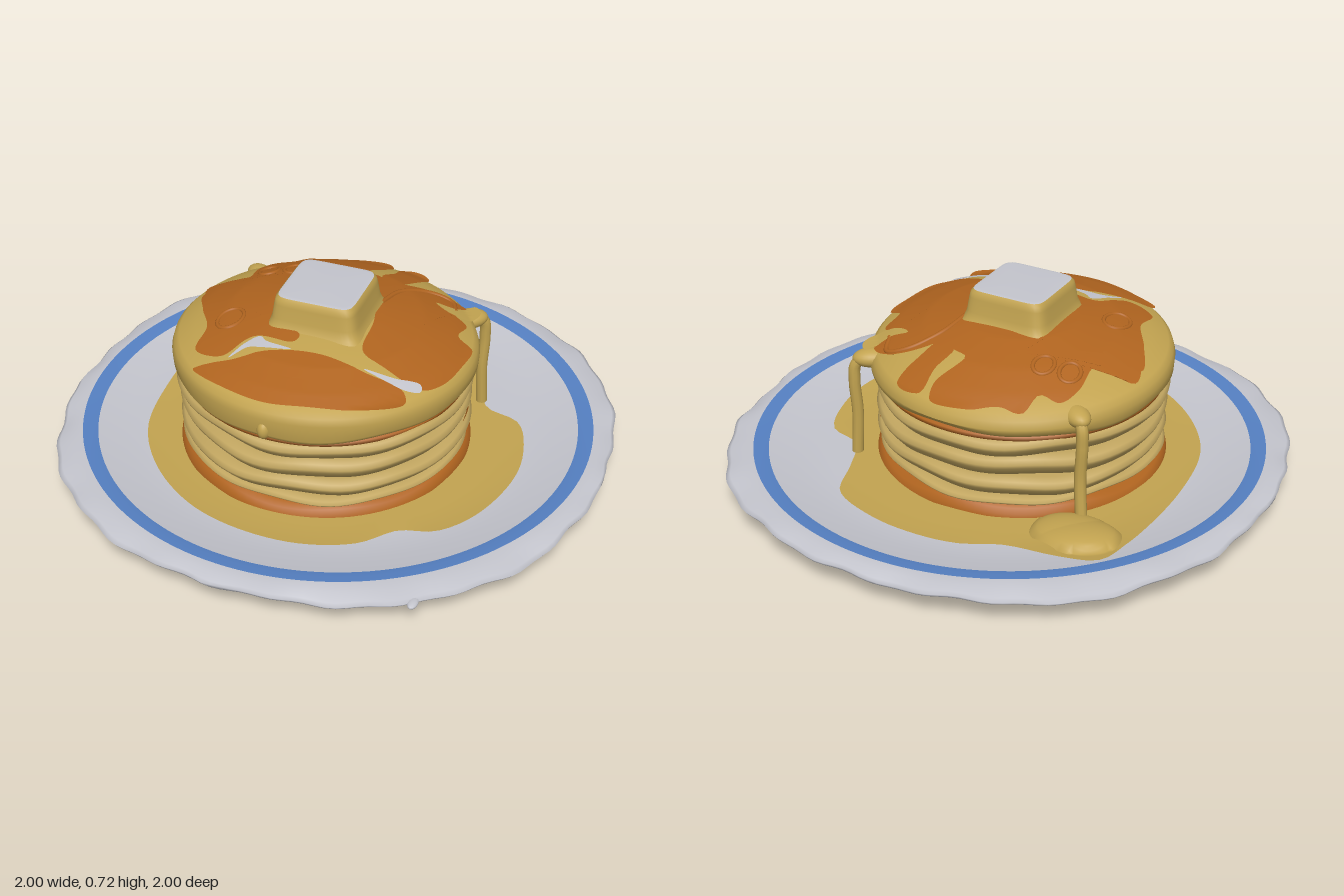
import * as THREE from 'three';
import { mergeVertices } from 'three/addons/utils/BufferGeometryUtils.js';

const mat = (name, color) => new THREE.MeshStandardMaterial({ name, color, side: THREE.DoubleSide });
const V3 = (x, y, z) => new THREE.Vector3(x, y, z);
const RAD = Math.PI / 180;

// Linear interpolation through [r, y] pairs
function ramp(pairs, r) {
  for (let i = 1; i < pairs.length; i++) {
    const [r0, y0] = pairs[i - 1], [r1, y1] = pairs[i];
    if (r <= r1) return y0 + (y1 - y0) * (r - r0) / (r1 - r0);
  }
  return pairs[pairs.length - 1][1];
}

const DOME = [[0, 0.62], [0.2, 0.605], [0.35, 0.575], [0.46, 0.537], [0.52, 0.51]];
const WELL = [[0, 0.08], [0.66, 0.083], [0.78, 0.1], [0.875, 0.122]];
const BASE = [[0, 0.006], [0.64, 0.006], [0.74, 0.022], [0.9, 0.065], [0.97, 0.088]];
const CX = -0.03, CZ = 0.04; // centre of the stack
const tilt = (z, r) => 0.08 * z * r; // the top pancake sits higher at the front
const domeY = (x, z) => {
  const r = Math.hypot(x - CX, z - CZ);
  return ramp(DOME, r) + tilt(z - CZ, r);
};

// Lathe whose vertices are moved by a rule, then smoothed across the seam
function turned(profile, rule, segments = 96, start = 0, sweep = 360) {
  let g = new THREE.LatheGeometry(profile.map(p => new THREE.Vector2(...p)), segments, start * RAD, sweep * RAD);
  const p = g.attributes.position, v = V3(0, 0, 0);
  if (rule) {
    for (let i = 0; i < p.count; i++) {
      v.fromBufferAttribute(p, i);
      rule(v, Math.atan2(v.z, v.x), Math.hypot(v.x, v.z));
      p.setXYZ(i, v.x, v.y, v.z);
    }
  }
  g.deleteAttribute('uv');
  g.deleteAttribute('normal');
  g = mergeVertices(g, 1e-5);
  g.computeVertexNormals();
  return g;
}

// Filled outline of [x, z] points draped over a height rule
function draped(outline, [cx, cz], height, rings = 12, n = 120) {
  const curve = new THREE.CatmullRomCurve3(outline.map(([x, z]) => V3(x, 0, z)), true, 'centripetal');
  const edge = curve.getSpacedPoints(n).slice(0, n);
  const area = edge.reduce((s, e, i) => s + e.x * edge[(i + 1) % n].z - edge[(i + 1) % n].x * e.z, 0);
  if (area > 0) edge.reverse(); // keep the faces upwards
  const pos = [], idx = [];
  for (let k = 0; k <= rings; k++) {
    for (const e of edge) {
      const x = cx + (e.x - cx) * k / rings, z = cz + (e.z - cz) * k / rings;
      pos.push(x, height(x, z), z);
    }
  }
  for (let k = 0; k < rings; k++) {
    for (let i = 0; i < n; i++) {
      const a = k * n + i, b = k * n + (i + 1) % n;
      idx.push(a, a + n, b, b, a + n, b + n);
    }
  }
  const g = new THREE.BufferGeometry();
  g.setAttribute('position', new THREE.Float32BufferAttribute(pos, 3));
  g.setIndex(idx);
  g.computeVertexNormals();
  return g;
}

export function createModel() {
  const model = new THREE.Group();
  model.name = 'pancakeStack';
  const china = mat('china', 0xc3c4cc);
  const blue = mat('blueGlaze', 0x5580c2);
  const syrup = mat('syrup', 0xc2a350);
  const batter = mat('batter', 0xc2a660);
  const brown = mat('brownCrust', 0xb0641f);
  const add = (name, geometry, material, x = 0, y = 0, z = 0) => {
    const m = new THREE.Mesh(geometry, material);
    m.name = name;
    m.position.set(x, y, z);
    model.add(m);
    return m;
  };

  // Plate with a hand-made, slightly squarish and uneven rim
  const rim = (v, a, r) => {
    if (r < 0.935) return;
    const t = (r - 0.935) / 0.065;
    const k = 1 + t * (0.017 - 0.016 * Math.cos(4 * a) + 0.004 * Math.sin(13 * a) + 0.005 * Math.sin(31 * a + 1));
    v.x = THREE.MathUtils.clamp(v.x * k, -1, 1);
    v.z = THREE.MathUtils.clamp(v.z * k, -1, 1);
    v.y += t * (0.004 * Math.sin(9 * a) + 0.004 * Math.sin(17 * a + 2));
  };
  add('plate', turned([
    ...BASE, [0.995, 0.096], [1, 0.106], [0.99, 0.115], [0.96, 0.125], [0.93, 0.132],
    [0.9, 0.128], ...WELL.slice().reverse()], rim, 180), china);
  add('plateBlueBand', turned([[0.932, 0.135], [0.9, 0.132], [0.877, 0.127]], null, 144), blue);
  add('rimNub', new THREE.SphereGeometry(1, 12, 8), china, 0.575, 0.105, 0.85).scale.set(0.018, 0.01, 0.032);

  // Broken traces of blue glaze under the rim: start and sweep in degrees
  for (const [start, sweep] of [[110, 36], [153, 3], [30, 30], [212, 26], [292, 15], [315, 9]]) {
    add('undersideBlueTrace', turned([[0.9, 0.06], [0.93, 0.07]], null, 24, start, sweep), blue);
  }

  // Syrup pool, and the stain showing under the plate
  const pool = [
    [-0.68, -0.42], [-0.65, -0.57], [-0.5, -0.59], [-0.31, -0.6], [-0.17, -0.67], [0, -0.69],
    [0.17, -0.67], [0.35, -0.59], [0.42, -0.42], [0.49, -0.28], [0.62, -0.23], [0.69, -0.06],
    [0.7, 0.12], [0.63, 0.36], [0.53, 0.48], [0.41, 0.51], [0.3, 0.63], [0.12, 0.7],
    [-0.1, 0.7], [-0.3, 0.64], [-0.5, 0.49], [-0.64, 0.28], [-0.69, 0]];
  add('syrupPool', draped(pool, [0, 0], (x, z) => ramp(WELL, Math.hypot(x, z)) + 0.008), syrup);
  add('undersideStain', draped(pool, [0, 0], (x, z) => ramp(BASE, Math.hypot(x, z)) - 0.005), syrup);

  // Squarish mound where the back drip lands
  const mound = [[-0.66, -0.5], [-0.6, -0.56], [-0.45, -0.55], [-0.35, -0.49], [-0.35, -0.36], [-0.48, -0.32], [-0.63, -0.36]];
  add('syrupMound', draped(mound, [-0.5, -0.44], (x, z) => {
    const d = Math.min(1, Math.hypot((x + 0.5) / 0.16, (z + 0.44) / 0.12));
    return ramp(WELL, Math.hypot(x, z)) + 0.01 + 0.05 * Math.sqrt(1 - d * d);
  }), syrup);

  // Lower pancakes with rounded, wavy edges
  const levels = [0.115, 0.16, 0.235, 0.318, 0.395];
  for (let i = 0; i < 4; i++) {
    const y0 = levels[i], y1 = levels[i + 1], h = y1 - y0, R = [0.518, 0.525, 0.525, 0.53][i];
    const wave = (v, a, r) => {
      const k = 1 + 0.008 * Math.sin(3 * a + i * 2) + 0.005 * Math.sin(7 * a + i);
      v.x *= k; v.z *= k;
      v.y += (r / R) * (0.005 * Math.sin(4 * a + i * 1.7) + 0.004 * Math.sin(9 * a + i));
    };
    add('pancake' + (i + 1), turned([
      [0, y0], [R - 0.035, y0], [R - 0.02, y0 + h * 0.22], [R - 0.005, y0 + h * 0.45], [R, y0 + h * 0.62],
      [R - 0.01, y0 + h * 0.82], [R - 0.035, y1], [0, y1]], wave), batter, CX, 0, CZ);
  }

  // Browned crust at the foot, in one seam and below the top pancake
  add('footCrust', turned([[0.53, 0.085], [0.527, 0.1], [0.515, 0.118], [0.49, 0.132], [0.45, 0.135]],
    (v, a) => { v.y += 0.007 * Math.sin(3 * a + 1) + 0.005 * Math.sin(7 * a); }), brown, CX, 0, CZ);
  add('seamCrust', turned([[0.518, 0.215], [0.512, 0.235], [0.515, 0.245]], null, 24, 92, 34), brown, CX, 0, CZ);
  add('upperCrust', turned([[0.47, 0.378], [0.515, 0.386], [0.518, 0.402], [0.49, 0.42]]), brown, CX, 0, CZ);

  // Top pancake under a coat of syrup
  add('topPancake', turned([
    [0, 0.408], [0.5, 0.404], [0.53, 0.412], [0.543, 0.43], [0.546, 0.465], [0.538, 0.492],
    ...DOME.slice().reverse()],
    (v, a, r) => {
      if (v.y > 0.45) v.y += tilt(v.z, r);
      else if (r > 0.47) v.y += 0.006 * Math.sin(3 * a) + 0.004 * Math.sin(8 * a + 1);
    }), syrup, CX, 0, CZ);

  // Browned areas left clear of syrup
  const onDome = (x, z) => domeY(x, z) + 0.006;
  const patches = {
    back: [[-0.16, -0.2], [[-0.4, -0.24], [-0.37, -0.32], [-0.3, -0.33], [-0.28, -0.42], [-0.2, -0.43], [-0.1, -0.48],
      [0.03, -0.49], [0.06, -0.42], [0.01, -0.29], [0.06, -0.27], [0.13, -0.24], [0.14, -0.1], [0.12, -0.08],
      [-0.18, -0.1], [-0.2, 0.05], [-0.38, 0.03], [-0.5, 0.02], [-0.53, -0.08], [-0.4, -0.1]]],
    backNotch: [[0.13, -0.36], [[0.09, -0.46], [0.15, -0.47], [0.2, -0.43], [0.18, -0.32], [0.14, -0.23], [0.07, -0.27], [0.09, -0.36]]],
    right: [[-0.3, 0.13], [[-0.52, -0.01], [-0.35, -0.03], [-0.18, 0], [-0.18, 0.17], [-0.05, 0.24], [-0.06, 0.28],
      [-0.2, 0.28], [-0.28, 0.39], [-0.39, 0.36], [-0.4, 0.24], [-0.47, 0.12]]],
    left: [[0.3, 0.02], [[0.12, -0.1], [0.13, -0.22], [0.2, -0.28], [0.3, -0.31], [0.4, -0.27], [0.37, -0.19],
      [0.43, -0.15], [0.43, -0.05], [0.49, -0.02], [0.49, 0.1], [0.46, 0.24], [0.4, 0.3], [0.28, 0.28], [0.18, 0.24], [0.16, 0.08]]],
    front: [[0, 0.44], [[-0.36, 0.45], [-0.23, 0.4], [-0.12, 0.34], [0.05, 0.31], [0.22, 0.33], [0.36, 0.34],
      [0.38, 0.4], [0.26, 0.48], [0.08, 0.535], [-0.06, 0.555], [-0.22, 0.52]]],
  };
  for (const [name, [centre, outline]] of Object.entries(patches)) {
    add(name + 'Browning', draped(outline, centre, onDome), brown);
  }

  // Pale streaks of melted butter
  const streaks = [
    [[-0.2, 0.325], [[-0.25, 0.4], [-0.22, 0.33], [-0.18, 0.28], [-0.15, 0.3], [-0.05, 0.32], [-0.15, 0.335], [-0.2, 0.345]]],
    [[0.34, 0.315], [[0.21, 0.32], [0.32, 0.305], [0.4, 0.28], [0.41, 0.31], [0.36, 0.335], [0.27, 0.33]]]];
  for (const [centre, outline] of streaks) {
    add('butterStreak', draped(outline, centre, (x, z) => domeY(x, z) + 0.009, 5, 60), china);
  }

  // Butter pat with rounded square sides
  const square = (v, a) => {
    const k = (Math.cos(a) ** 8 + Math.sin(a) ** 8) ** (-1 / 8);
    v.x *= k; v.z *= k;
  };
  add('butterSides', turned([[0.185, 0.59], [0.167, 0.61], [0.157, 0.64], [0.15, 0.69], [0.146, 0.708], [0.137, 0.718]],
    square), syrup, -0.02, 0, 0.06);
  add('butterTop', turned([[0.138, 0.718], [0.125, 0.721], [0, 0.721]], square), china, -0.02, 0, 0.06);

  // Syrup running over the edge
  const tube = (name, pts, r, material = syrup, closed = false) =>
    add(name, new THREE.TubeGeometry(new THREE.CatmullRomCurve3(pts.map(p => V3(...p)), closed), 48, r, 10, closed), material);
  tube('leftDrip', [[0.37, 0.48, -0.25], [0.42, 0.475, -0.295], [0.45, 0.445, -0.315], [0.455, 0.38, -0.32],
    [0.45, 0.25, -0.315], [0.455, 0.09, -0.32]], 0.021);
  tube('backDrip', [[-0.38, 0.48, -0.26], [-0.43, 0.475, -0.305], [-0.46, 0.445, -0.33], [-0.465, 0.38, -0.335],
    [-0.46, 0.25, -0.335], [-0.475, 0.1, -0.35]], 0.021);
  const lips = [[0.4, 0.468, -0.275, 2.2, 0.045, 0.075], [-0.415, 0.468, -0.29, -2.2, 0.045, 0.075], [-0.05, 0.44, 0.57, 0, 0.024, 0.028]];
  for (const [x, y, z, turn, w, d] of lips) {
    const lip = add('syrupLip', new THREE.SphereGeometry(1, 24, 16), syrup, x, y, z);
    lip.scale.set(w, 0.035, d);
    lip.rotation.y = turn;
  }

  // Raised flap and small bubbles on the crust
  const ridge = (pts, lift) => pts.map(([x, z]) => [x, domeY(x, z) + lift, z]);
  tube('crustFlap', ridge([[0.14, -0.06], [0.17, -0.19], [0.25, -0.28], [0.33, -0.29], [0.37, -0.21]], 0.003), 0.01, brown);
  add('syrupSpill', draped([[0.3, -0.2], [0.36, -0.22], [0.42, -0.3], [0.45, -0.26], [0.43, -0.19], [0.36, -0.17]],
    [0.385, -0.22], (x, z) => domeY(x, z) + 0.012, 5, 60), syrup);
  for (const [x, z, r] of [[-0.34, -0.19, 0.035], [-0.25, -0.21, 0.035], [-0.33, 0.19, 0.045]]) {
    const circle = Array.from({ length: 10 }, (_, i) => [x + r * Math.cos(i * 36 * RAD), z + 1.3 * r * Math.sin(i * 36 * RAD)]);
    tube('crustBubble', ridge(circle, 0.004), 0.008, brown, true);
  }
  return model;
}
